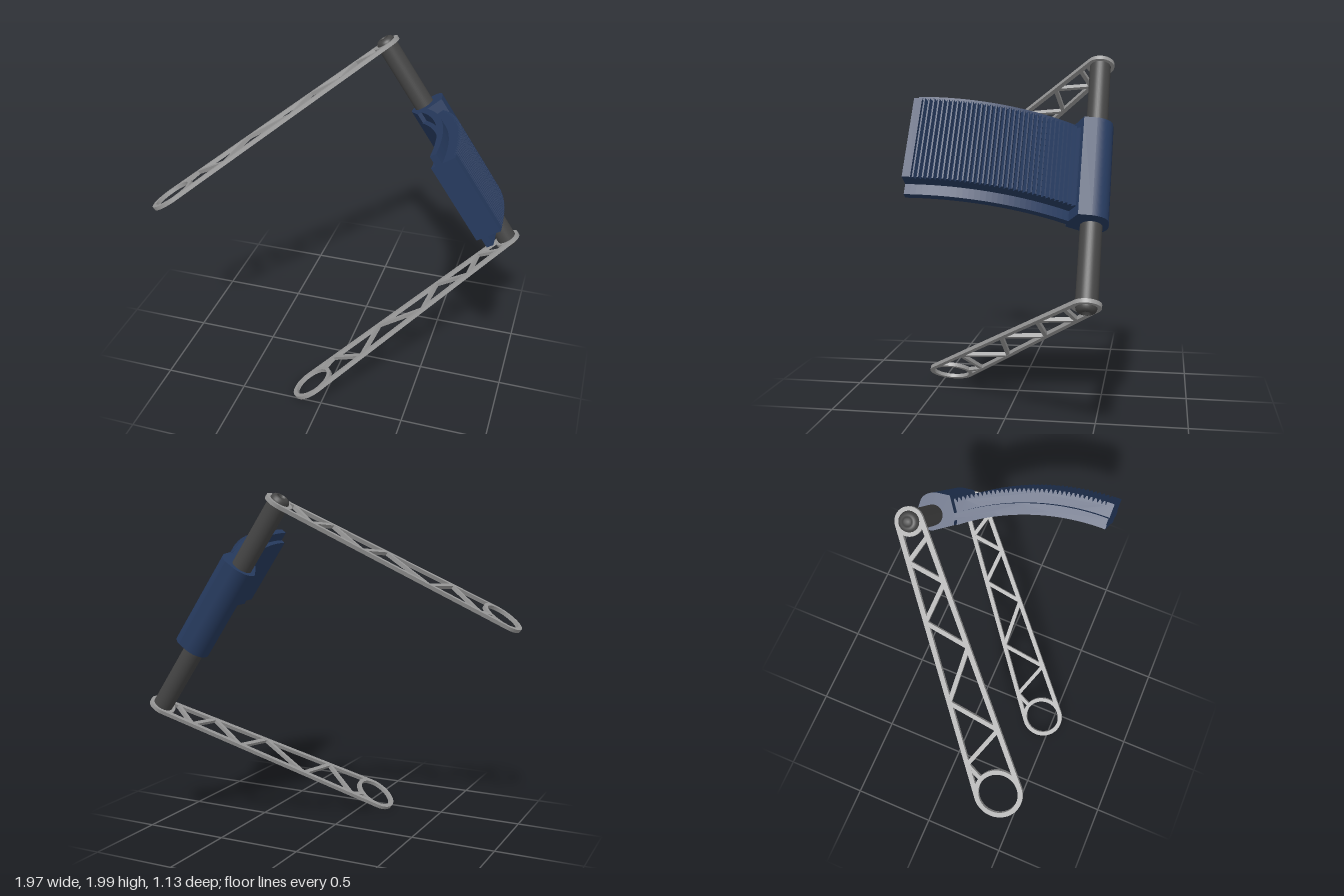
import * as THREE from 'three';

const steel = new THREE.MeshStandardMaterial({ color: 0x999999 });
const dark = new THREE.MeshStandardMaterial({ color: 0x444444 });
const blue = new THREE.MeshStandardMaterial({ color: 0x263a5e });

const PIVOT = { x: 1.175, z: -0.478 };
const RING = { x: -0.012, z: 0.43 };
const LENGTH = Math.hypot(RING.x - PIVOT.x, RING.z - PIVOT.z);
const LOW = 0.113, HIGH = 1.548; // heights of the two arms along the rod
const THICK = 0.022;

// Extrude a plan shape (x, -z) upward from y0 to y1
function slab(name, shape, y0, y1, material) {
  const g = new THREE.ExtrudeGeometry(shape, { depth: y1 - y0, bevelEnabled: false, curveSegments: 40 });
  g.rotateX(-Math.PI / 2);
  g.translate(0, y0, 0);
  const m = new THREE.Mesh(g, material);
  m.name = name;
  return m;
}

// Outline wrapped around two circles
function hull(path, r1, r2) {
  const a = Math.acos((r1 - r2) / LENGTH);
  path.absarc(0, 0, r1, a, 2 * Math.PI - a, false);
  path.absarc(LENGTH, 0, r2, -a, a, false);
  path.closePath();
  return path;
}

function disc(x, r, inner) {
  const s = new THREE.Shape().absarc(x, 0, r, 0, Math.PI * 2, false);
  if (inner) s.holes.push(new THREE.Path().absarc(x, 0, inner, 0, Math.PI * 2, true));
  return s;
}

// Lattice arm: tapering rim, pivot pad, end ring and zigzag struts
function makeArm(name) {
  const arm = new THREE.Group();
  arm.name = name;
  const h = THICK / 2;
  const rim = hull(new THREE.Shape(), 0.077, 0.132);
  rim.holes.push(hull(new THREE.Path(), 0.051, 0.106));
  arm.add(slab('armRim', rim, -h, h, steel));
  arm.add(slab('pivotPad', disc(0, 0.077), -h, h, steel));
  arm.add(slab('endRing', disc(LENGTH, 0.13, 0.106), -h, h, steel));
  const nodes = [
    [1.395, -0.066], [1.301, -0.112], [1.162, 0.107], [0.956, -0.1], [0.7, 0.092],
    [0.517, -0.086], [0.346, 0.078], [0.196, -0.072], [0.1, 0.067],
  ];
  for (let i = 1; i < nodes.length; i++) {
    const [ax, ay] = nodes[i - 1], [bx, by] = nodes[i];
    const strut = new THREE.Mesh(
      new THREE.BoxGeometry(Math.hypot(bx - ax, by - ay), THICK * 0.96, 0.023), steel);
    strut.position.set((ax + bx) / 2, 0, -(ay + by) / 2);
    strut.rotation.y = Math.atan2(by - ay, bx - ax);
    strut.name = 'strut';
    arm.add(strut);
  }
  arm.rotation.y = Math.atan2(-(RING.z - PIVOT.z), RING.x - PIVOT.x);
  return arm;
}

// Domed screw head with a recessed socket
function makeScrew(y, sign) {
  const profile = [[0, 0.012], [0.022, 0.012], [0.024, 0.028], [0.034, 0.027], [0.046, 0.021], [0.053, 0.01], [0.055, 0]]
    .reverse().map(([r, h]) => new THREE.Vector2(r, h));
  const m = new THREE.Mesh(new THREE.LatheGeometry(profile, 32), dark);
  m.position.set(PIVOT.x, y + sign * THICK / 2, PIVOT.z);
  if (sign < 0) m.rotation.x = Math.PI;
  m.name = 'screwHead';
  return m;
}

// Points of the curved panel, measured from its centre of curvature
const arcPoint = (r, a) => new THREE.Vector2(0.156 + r * Math.cos(a), -(0.434 - r * Math.sin(a)));

function bandShape(inner, outer, end, teeth) {
  const pts = [];
  for (let i = 0; i <= 32; i++) pts.push(arcPoint(inner, (end * i) / 32));
  if (teeth) {
    const start = 0.03, step = (end - start) / teeth;
    for (let i = teeth; i > 0; i--) {
      pts.push(arcPoint(outer - 0.022, start + step * i));
      pts.push(arcPoint(outer, start + step * (i - 0.35)));
      pts.push(arcPoint(outer, start + step * (i - 0.65)));
    }
    pts.push(arcPoint(outer - 0.022, start), arcPoint(outer, start), arcPoint(outer, 0));
  } else {
    for (let i = 32; i >= 0; i--) pts.push(arcPoint(outer, (end * i) / 32));
  }
  return new THREE.Shape(pts);
}

export function createModel() {
  const model = new THREE.Group();
  model.name = 'hingedArmAssembly';
  const body = new THREE.Group();
  body.name = 'tiltedBody';
  body.rotation.z = 0.5962;
  model.add(body);

  // Two parallel arms with their screws
  for (const [y, sign, name] of [[LOW, -1, 'lowerArm'], [HIGH, 1, 'upperArm']]) {
    const arm = makeArm(name);
    arm.position.set(PIVOT.x, y, PIVOT.z);
    body.add(arm, makeScrew(y, sign));
  }

  // Rod joining the arms
  const rod = new THREE.Mesh(new THREE.CylinderGeometry(0.058, 0.058, HIGH - LOW, 40), dark);
  rod.position.set(PIVOT.x, (LOW + HIGH) / 2, PIVOT.z);
  rod.name = 'rod';
  body.add(rod);

  // Sleeve gripping the rod
  const sleeve = new THREE.Shape();
  sleeve.moveTo(1.235, 0.568);
  sleeve.lineTo(1.18, 0.568);
  sleeve.absarc(1.18, 0.478, 0.09, Math.PI / 2, Math.PI * 1.1, false);
  sleeve.lineTo(1.165, 0.345);
  sleeve.lineTo(1.22, 0.36);
  sleeve.lineTo(1.31, 0.42);
  sleeve.lineTo(1.3, 0.49);
  sleeve.quadraticCurveTo(1.285, 0.555, 1.235, 0.568);
  body.add(slab('sleeve', sleeve, 0.55, 1.126, blue));

  // Curved ribbed panel with a guide rail along both edges
  body.add(slab('ribbedPanel', bandShape(1.27, 1.412, 0.66, 36), 0.607, 1.067, blue));
  body.add(slab('guideRail', bandShape(1.298, 1.336, 0.7, 0), 0.55, 1.126, blue));

  return model;
}
